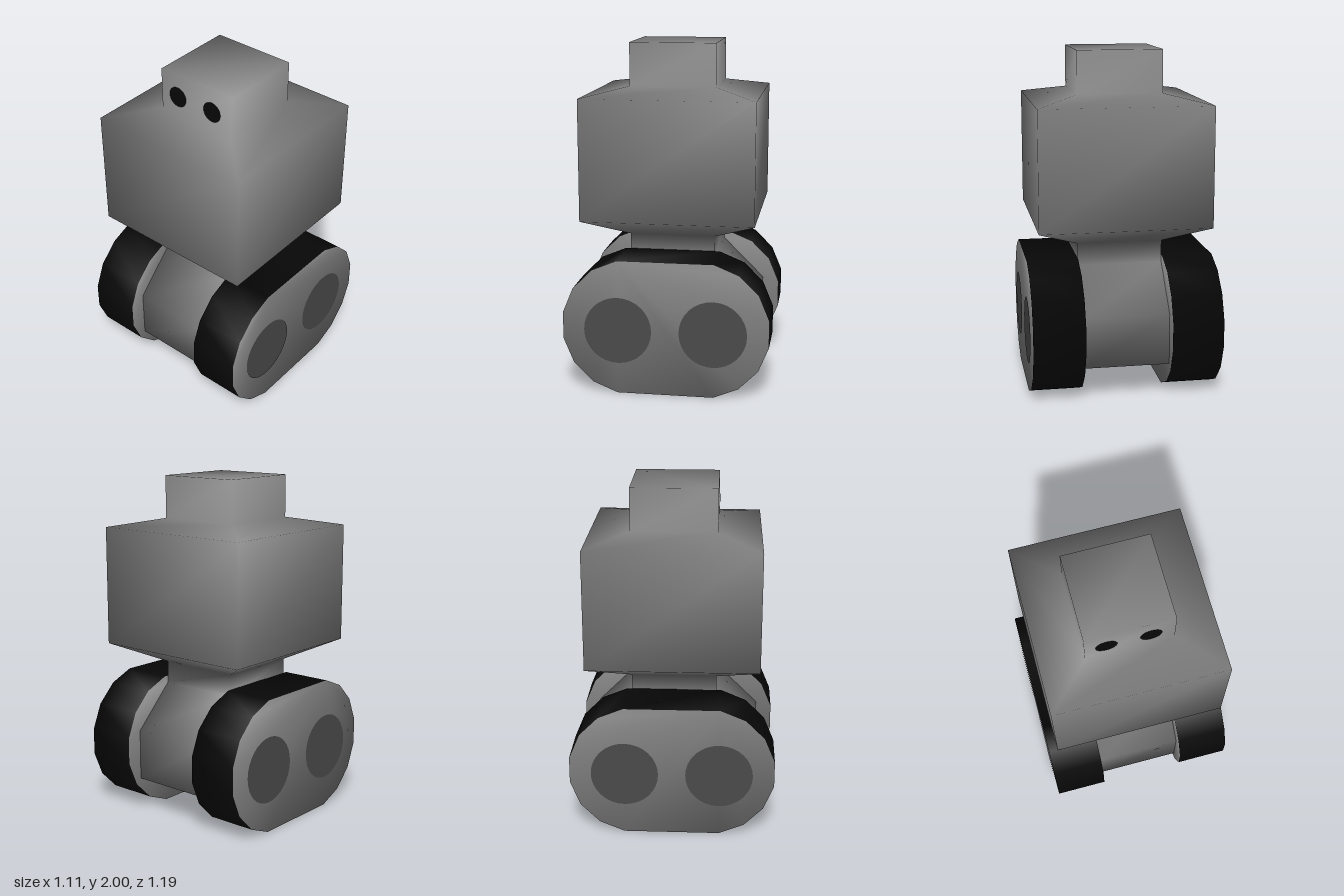
import * as THREE from 'three';

const mat = (name, color) => {
  const m = new THREE.MeshStandardMaterial({ color });
  m.name = name;
  return m;
};

// Smooth closed loft through rings of equal length; group 0 = sides, group 1 = end caps
function loft(rings) {
  const n = rings[0].length, last = (rings.length - 1) * n, index = [];
  for (let r = 0; r < rings.length - 1; r++) {
    for (let i = 0; i < n; i++) {
      const a = r * n + i, b = r * n + (i + 1) % n;
      index.push(a, b, b + n, a, b + n, a + n);
    }
  }
  const sides = index.length;
  for (let i = 1; i < n - 1; i++) {
    index.push(0, i + 1, i, last, last + i, last + i + 1);
  }
  const geo = new THREE.BufferGeometry();
  geo.setAttribute('position', new THREE.Float32BufferAttribute(rings.flat(2), 3));
  geo.setIndex(index);
  geo.addGroup(0, sides, 0);
  geo.addGroup(sides, index.length - sides, 1);
  geo.computeVertexNormals();
  return geo;
}

export function createModel() {
  const model = new THREE.Group();
  model.name = 'trackedRobot';
  const grey = mat('bodyGrey', 0x808080);
  const dark = mat('wheelGrey', 0x4a4a4a);
  const black = mat('treadBlack', 0x080808);

  const add = (name, geo, material, x = 0, y = 0, z = 0, ry = 0) => {
    const mesh = new THREE.Mesh(geo, material);
    mesh.name = name;
    mesh.position.set(x, y, z);
    mesh.rotation.y = ry;
    model.add(mesh);
  };

  // Base, waist, torso and head in one smooth skin: height, half width, half depth
  const sections = [
    [0.2, 0.25, 0.5], [0.5, 0.25, 0.5], [0.75, 0.25, 0.25], [0.88, 0.25, 0.25],
    [1, 0.5, 0.5], [1.7, 0.5, 0.5], [1.75, 0.25, 0.25], [2, 0.25, 0.25],
  ];
  const body = loft(sections.map(([y, w, d]) => [[-w, y, d], [w, y, d], [w, y, -d], [-w, y, -d]]));
  add('body', body, [grey, grey]);

  // Eyes
  const eye = new THREE.CircleGeometry(0.06, 24);
  add('rightEye', eye, black, -0.13, 1.865, 0.254);
  add('leftEye', eye, black, 0.115, 1.865, 0.254);

  // Tracks: a sixteen-sided wheel outline stretched front to back
  const outline = (x) => Array.from({ length: 16 }, (_, i) => {
    const t = (i + 0.5) * Math.PI / 8;
    return [x, 0.395 + 0.403 * Math.cos(t), 0.403 * Math.sin(t) + 0.2 * Math.sign(Math.sin(t))];
  });
  const track = loft([outline(-0.15), outline(0.15)]);
  const wheel = new THREE.CircleGeometry(0.196, 32);
  for (const s of [-1, 1]) {
    const side = s > 0 ? 'left' : 'right';
    add(side + 'Track', track, [black, grey], s * 0.4);
    // Wheel discs on the outer and inner faces
    for (const z of [-0.275, 0.275]) {
      add(side + 'OuterWheel', wheel, dark, s * 0.554, 0.378, z, s * Math.PI / 2);
      add(side + 'InnerWheel', wheel, dark, s * 0.246, 0.378, z, -s * Math.PI / 2);
    }
  }
  return model;
}
